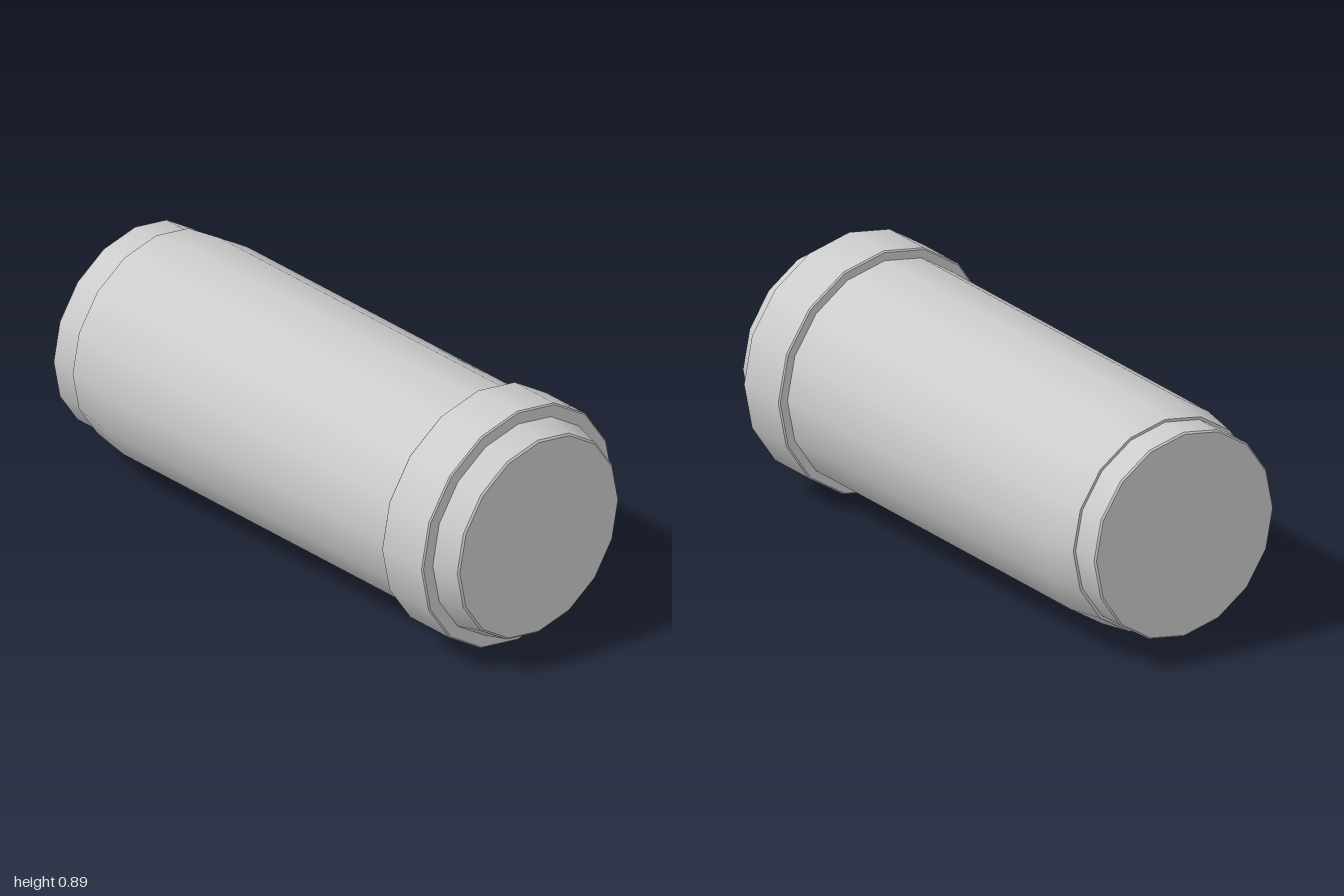
import * as THREE from 'three';
import { mergeGeometries } from 'three/addons/utils/BufferGeometryUtils.js';

const SIDES = 16;
const CENTRE_Y = 0.445;

// Each strip is a list of [radius, z] from back to front; edges between strips stay sharp.
function turned(name, material, strips) {
  const lathes = strips.map((strip) =>
    new THREE.LatheGeometry(strip.map(([r, z]) => new THREE.Vector2(r, z)), SIDES));
  const geometry = mergeGeometries(lathes);
  geometry.rotateX(Math.PI / 2);
  const mesh = new THREE.Mesh(geometry, material);
  mesh.name = name;
  return mesh;
}

export function createModel() {
  const grey = new THREE.MeshStandardMaterial({ color: 0xcccccc });
  grey.name = 'light grey';

  const model = new THREE.Group();
  model.name = 'cylinder';
  const parts = new THREE.Group();
  parts.name = 'turnedParts';
  parts.position.y = CENTRE_Y;
  model.add(parts);

  // Long barrel, tapering softly towards the back
  parts.add(turned('barrel', grey, [
    [[0.378, -0.89], [0.388, -0.89]],
    [[0.388, -0.89], [0.41, -0.745], [0.41, 0.7]],
  ]));

  // Short plug closing the back
  parts.add(turned('backPlug', grey, [
    [[0, -1], [0.372, -1]],
    [[0.372, -1], [0.378, -0.994]],
    [[0.378, -0.994], [0.378, -0.89]],
  ]));

  // Raised collar near the front, with finely broken edges
  parts.add(turned('collar', grey, [
    [[0.4, 0.695], [0.44, 0.695]],
    [[0.44, 0.695], [0.445, 0.7]],
    [[0.445, 0.7], [0.445, 0.893]],
    [[0.445, 0.893], [0.44, 0.898]],
    [[0.44, 0.898], [0.39, 0.898]],
  ]));

  // Tapered front cap
  parts.add(turned('frontCap', grey, [
    [[0.397, 0.898], [0.374, 0.994]],
    [[0.374, 0.994], [0.367, 1]],
    [[0.367, 1], [0, 1]],
  ]));

  return model;
}
